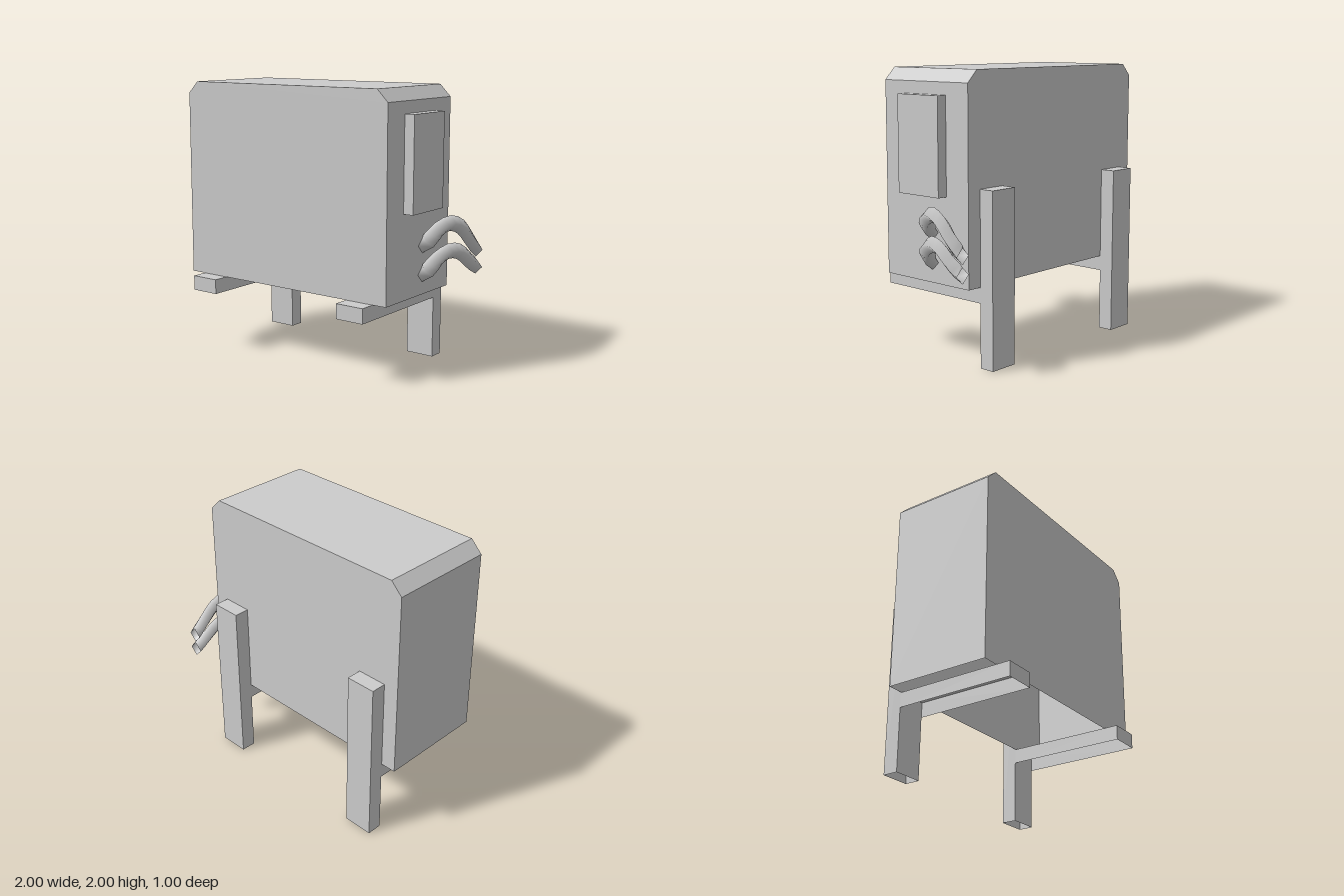
import * as THREE from 'three';

const grey = new THREE.MeshStandardMaterial({ color: 0xcccccc, side: THREE.DoubleSide });

// Removes the faces lying on the lowest plane, leaving a shell open underneath
function openBottom(source) {
  const geo = source.index ? source.toNonIndexed() : source;
  geo.computeBoundingBox();
  const floor = geo.boundingBox.min.y + 1e-4;
  const p = geo.attributes.position;
  const kept = [];
  for (let i = 0; i < p.count; i += 3) {
    if (p.getY(i) < floor && p.getY(i + 1) < floor && p.getY(i + 2) < floor) continue;
    kept.push(i, i + 1, i + 2);
  }
  geo.setIndex(kept);
  return geo;
}

function addMesh(parent, name, geo) {
  const mesh = new THREE.Mesh(geo, grey);
  mesh.name = name;
  parent.add(mesh);
  return mesh;
}

// Open-bottomed box given by its extents
function addShell(parent, name, [x0, x1], [y0, y1], [z0, z1]) {
  const geo = new THREE.BoxGeometry(x1 - x0, y1 - y0, z1 - z0);
  geo.translate((x0 + x1) / 2, (y0 + y1) / 2, (z0 + z1) / 2);
  return addMesh(parent, name, openBottom(geo));
}

// Smooth-shaded, four-sided hose with ends cut square to the wall and to the back
function hoseGeometry(points, radius, steps) {
  const curve = new THREE.CatmullRomCurve3(points.map((p) => new THREE.Vector3(...p)));
  const up = new THREE.Vector3(0, 1, 0);
  const positions = [];
  const index = [];
  for (let i = 0; i <= steps; i++) {
    const c = curve.getPointAt(i / steps);
    const t = curve.getTangentAt(i / steps);
    if (i === 0) t.set(1, 0, 0);
    if (i === steps) t.set(0, 0, -1);
    const side = new THREE.Vector3().crossVectors(t, up).normalize();
    const lift = new THREE.Vector3().crossVectors(side, t);
    for (let k = 0; k < 4; k++) {
      const a = (k * Math.PI) / 2;
      const v = c.clone()
        .addScaledVector(side, radius * Math.cos(a))
        .addScaledVector(lift, radius * Math.sin(a));
      positions.push(v.x, v.y, v.z);
      if (i === steps) continue;
      const p = i * 4 + k;
      const q = i * 4 + ((k + 1) % 4);
      index.push(p, q, p + 4, q, q + 4, p + 4);
    }
  }
  const geo = new THREE.BufferGeometry();
  geo.setAttribute('position', new THREE.Float32BufferAttribute(positions, 3));
  geo.setIndex(index);
  geo.computeVertexNormals();
  return geo;
}

export function createModel() {
  const model = new THREE.Group();
  model.name = 'wallCabinet';

  // Cabinet with chamfered upper edges
  const outline = new THREE.Shape([
    [-1, 0.56], [0.775, 0.56], [0.775, 1.915], [0.69, 2], [-0.915, 2], [-1, 1.915],
  ].map(([x, y]) => new THREE.Vector2(x, y)));
  const body = new THREE.ExtrudeGeometry(outline, { depth: 0.78, bevelEnabled: false });
  body.translate(0, 0, -0.39);
  addMesh(model, 'cabinet', openBottom(body));

  // Raised panel on the side
  addShell(model, 'sidePanel', [0.775, 0.85], [1.16, 1.83], [-0.19, 0.19]);

  // Two brackets: upright post behind, arm carrying the cabinet
  for (const [side, x] of [['right', -0.777], ['left', 0.553]]) {
    const bracket = new THREE.Group();
    bracket.name = side + 'Bracket';
    const width = [x - 0.11, x + 0.11];
    addShell(bracket, 'post', width, [0, 1.22], [-0.5, -0.39]);
    addShell(bracket, 'arm', width, [0.45, 0.558], [-0.39, 0.5]);
    model.add(bracket);
  }

  // Two hoses arching from the side to the back
  const path = [
    [0.775, 0.705, -0.055], [0.82, 0.74, -0.06], [0.87, 0.82, -0.105], [0.905, 0.862, -0.19],
    [0.93, 0.845, -0.29], [0.945, 0.765, -0.4], [0.945, 0.705, -0.5],
  ];
  addMesh(model, 'lowerHose', hoseGeometry(path, 0.055, 12));
  const raised = path.map(([x, y, z]) => [x, y + 0.205 - 0.08 * Math.pow((z + 0.055) / 0.445, 2), z]);
  addMesh(model, 'upperHose', hoseGeometry(raised, 0.055, 12));

  return model;
}
